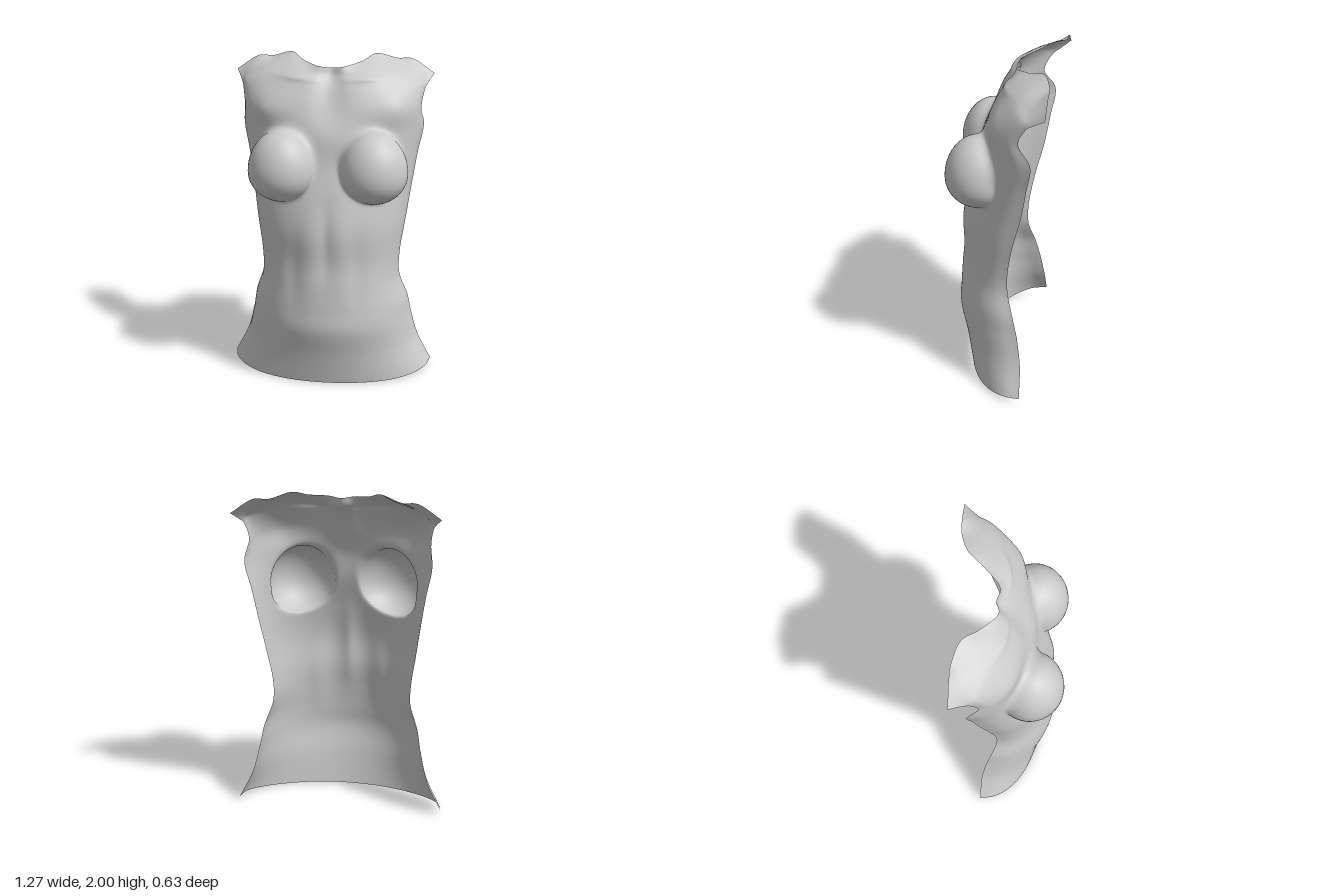
import * as THREE from 'three';

// Waist and chest cross-sections: height, half width, z of the side edge, z of the front
const BODY = [
  [0, 0.635, -0.187, 0.195], [0.2, 0.55, -0.18, 0.235], [0.37, 0.505, -0.155, 0.275],
  [0.5, 0.48, -0.125, 0.27], [0.65, 0.43, -0.085, 0.258], [0.8, 0.43, -0.085, 0.242],
  [1.0, 0.46, -0.12, 0.243], [1.2, 0.49, -0.17, 0.205], [1.4, 0.522, -0.205, 0.15],
  [1.57, 0.555, -0.23, 0.12],
];

// Shoulder cross-sections, from the middle outwards to the armhole
const SHOULDER = [
  [[0, 1.71, 0.05], [0.14, 1.72, 0.06], [0.28, 1.72, 0.05], [0.39, 1.72, 0.02], [0.47, 1.71, -0.04], [0.52, 1.7, -0.1], [0.54, 1.69, -0.16]],
  [[0, 1.83, -0.02], [0.12, 1.84, 0], [0.25, 1.85, -0.02], [0.36, 1.85, -0.06], [0.46, 1.84, -0.11], [0.53, 1.82, -0.16], [0.555, 1.79, -0.2]],
  [[0, 1.89, -0.075], [0.09, 1.9, -0.05], [0.2, 1.92, -0.075], [0.31, 1.925, -0.13], [0.42, 1.91, -0.18], [0.52, 1.87, -0.22], [0.575, 1.83, -0.25]],
  [[0, 1.94, -0.095], [0.08, 1.95, -0.08], [0.18, 1.97, -0.17], [0.26, 2.0, -0.265], [0.38, 1.965, -0.31], [0.48, 1.96, -0.315], [0.61, 1.875, -0.315]],
];

const COLS = 120, ROWS = 156;
const gauss = (d, w) => Math.exp(-((d / w) ** 2));

// Half an ellipse from the middle to the side edge
function bodySection([y, w, zSide, zFront]) {
  return Array.from({ length: 7 }, (_, i) => {
    const a = (i / 6) * Math.PI / 2;
    const lift = y === 0 ? 0.03 * Math.sin(a) ** 6 : 0;
    return [w * Math.sin(a), y + lift, zSide + (zFront - zSide) * Math.cos(a)];
  });
}

// Mirror a half section and run a smooth curve through it
function sectionCurve(half) {
  const right = half.slice(1).reverse().map(([x, y, z]) => [-x, y, z]);
  const points = [...right, ...half].map((p) => new THREE.Vector3(...p));
  return new THREE.CatmullRomCurve3(points, false, 'catmullrom', 0.5);
}

// Push the surface out to an ellipsoid, rounder below and longer above
function swellBreast(p) {
  if (Math.abs(p.x) < 1e-4) return;
  const side = Math.sign(p.x);
  const core = new THREE.Vector3(0.275 * side, 1.35, -0.05);
  const dir = p.clone().sub(core);
  const dist = dir.length();
  dir.divideScalar(dist);
  const up = dir.y > 0;
  const rx = 0.205, ry = up ? 0.25 : 0.185, rz = 0.2, back = -0.16;
  const a = (dir.x / rx) ** 2 + (dir.y / ry) ** 2 + (dir.z / rz) ** 2;
  const b = (back * dir.z) / rz ** 2;
  const c = (back / rz) ** 2 - 1;
  const reach = (-b + Math.sqrt(b * b - a * c)) / a;
  const k = 0.02 + 0.06 * THREE.MathUtils.smoothstep(dir.y, -0.1, 0.6);
  const h = Math.max(k - Math.abs(dist - reach), 0) / k;
  p.copy(core).addScaledVector(dir, Math.max(dist, reach) + h * h * k / 4);
}

// Shallow muscle and bone relief
function addRelief(p) {
  const x = Math.abs(p.x);
  p.z -= 0.01 * gauss(x, 0.04) * gauss(p.y - 0.95, 0.22);
  p.z -= 0.008 * gauss(x - 0.2, 0.05) * gauss(p.y - 0.72, 0.2);
  p.z += 0.008 * gauss(x - 0.1, 0.06) * gauss(p.y - 0.9, 0.25);
  p.z += 0.012 * gauss(p.y - 1.875 - 0.06 * x, 0.02) * gauss(x - 0.2, 0.14);
}

function torsoGeometry() {
  const sections = [...BODY.map(bodySection), ...SHOULDER].map(sectionCurve);
  const n = COLS + 1;
  const positions = new Float32Array(n * (ROWS + 1) * 3);
  for (let i = 0; i <= COLS; i++) {
    const rise = new THREE.CatmullRomCurve3(
      sections.map((s) => s.getPoint(i / COLS)), false, 'catmullrom', 0.5);
    for (let j = 0; j <= ROWS; j++) {
      const p = rise.getPoint(j / ROWS);
      addRelief(p);
      swellBreast(p);
      p.toArray(positions, (j * n + i) * 3);
    }
  }
  const index = [];
  for (let j = 0; j < ROWS; j++) {
    for (let i = 0; i < COLS; i++) {
      const a = j * n + i;
      index.push(a, a + 1, a + n, a + 1, a + n + 1, a + n);
    }
  }
  const geometry = new THREE.BufferGeometry();
  geometry.setAttribute('position', new THREE.BufferAttribute(positions, 3));
  geometry.setIndex(index);
  geometry.computeVertexNormals();
  return geometry;
}

export function createModel() {
  const group = new THREE.Group();
  group.name = 'torsoFront';
  const shell = new THREE.Mesh(
    torsoGeometry(),
    new THREE.MeshStandardMaterial({ color: 0xcccccc, side: THREE.DoubleSide }));
  shell.name = 'torsoShell';
  group.add(shell);
  return group;
}
